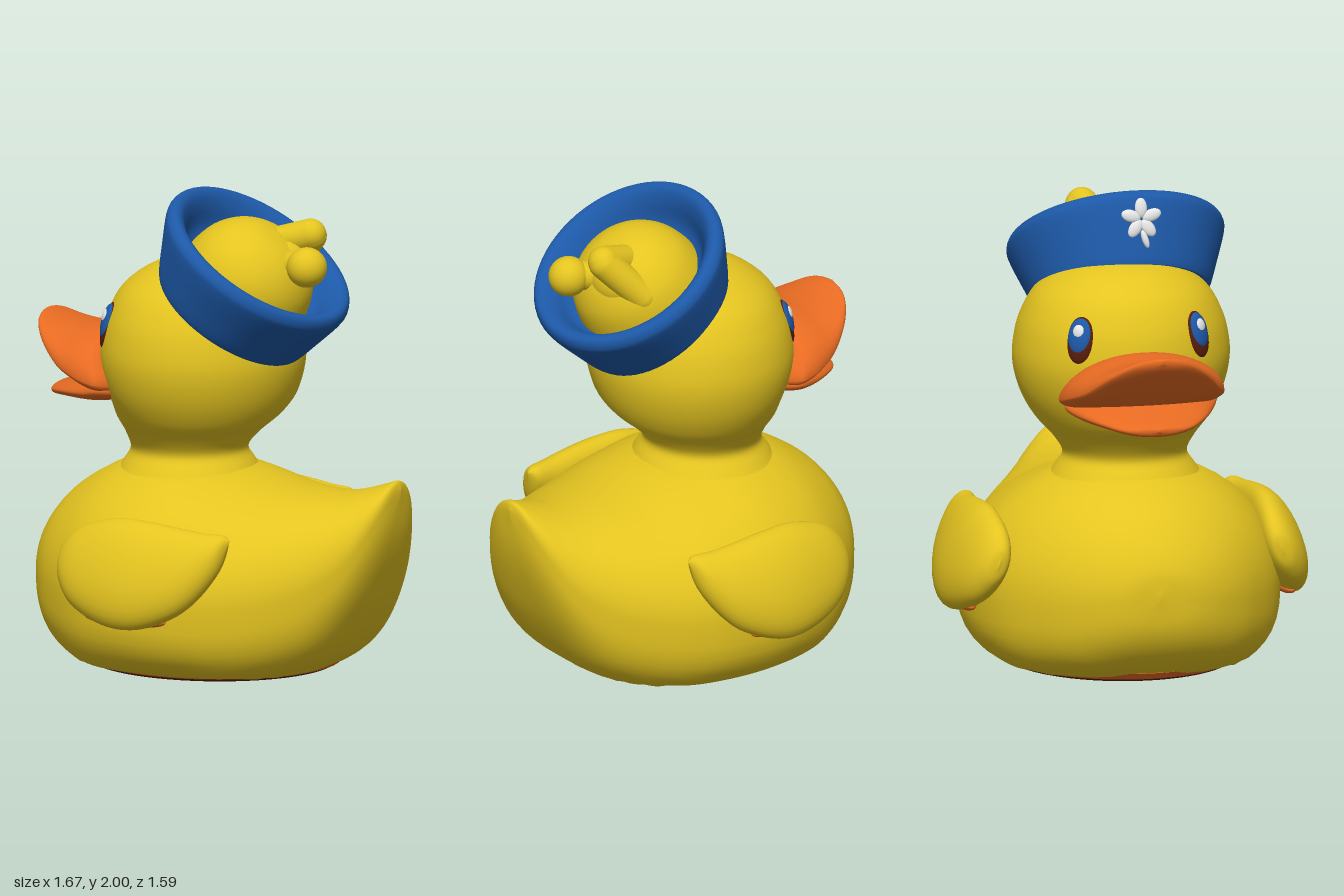
import * as THREE from 'three';

const mat = (name, color) => Object.assign(new THREE.MeshStandardMaterial({ color }), { name });

// Loft along x. Stations are [x, bottom, top, halfWidth, heightOfWidestPoint].
function loft(stations, { low = 1, high = () => 1, floor = -9, move = null, around = 48, steps = 6 } = {}) {
  const curve = (f) => new THREE.CatmullRomCurve3(stations.map(f), false, 'catmullrom', 0.5);
  const heights = curve((s) => new THREE.Vector3(s[0], s[1], s[2]));
  const widths = curve((s) => new THREE.Vector3(s[0], s[3], s[4]));
  const rows = (stations.length - 1) * steps;
  const positions = [], index = [];
  const power = (v, e) => Math.sign(v) * Math.pow(Math.abs(v), e);
  for (let i = 0; i <= rows; i++) {
    const h = heights.getPoint(i / rows), w = widths.getPoint(i / rows);
    for (let j = 0; j < around; j++) {
      const a = (j / around) * Math.PI * 2, s = Math.sin(a), c = Math.cos(a);
      const e = s > 0 ? high(h.x) : low;
      const reach = s > 0 ? h.z - w.z : w.z - h.y;
      const p = new THREE.Vector3(h.x, Math.max(floor, w.z + reach * power(s, e)), Math.max(0, w.y) * power(c, e));
      if (move) move(p);
      positions.push(p.x, p.y, p.z);
      if (i < rows) {
        const k = i * around + j, n = i * around + (j + 1) % around;
        index.push(k, k + around, n, n, k + around, n + around);
      }
    }
  }
  const g = new THREE.BufferGeometry();
  g.setAttribute('position', new THREE.Float32BufferAttribute(positions, 3));
  g.setIndex(index);
  g.computeVertexNormals();
  return g;
}

// Lathe through a smoothed profile of [radius, height]; shift and squash x by height.
function smoothLathe(points, samples, shiftX, scaleX = 1) {
  const spline = new THREE.SplineCurve(points.map((p) => new THREE.Vector2(...p)));
  const profile = spline.getPoints(samples).map((p) => new THREE.Vector2(Math.max(0, p.x), p.y));
  const g = new THREE.LatheGeometry(profile, 64);
  const pos = g.attributes.position;
  for (let i = 0; i < pos.count; i++) pos.setX(i, pos.getX(i) * scaleX + shiftX(pos.getY(i)));
  return g;
}

export function createModel() {
  const yellow = mat('yellow', 0xe4c420), orange = mat('orange', 0xe86b22), blue = mat('blue', 0x1d59a8);
  const brown = mat('dark brown', 0x571d0b), white = mat('white', 0xe8e8e8);
  const model = new THREE.Group();

  const add = (name, geometry, material, parent = model) => {
    const m = new THREE.Mesh(geometry, material);
    m.name = name;
    parent.add(m);
    return m;
  };
  const ball = (name, material, pos, scale, parent = model) => {
    const m = add(name, new THREE.SphereGeometry(1, 32, 20), material, parent);
    m.position.set(...pos);
    m.scale.set(...scale);
    return m;
  };
  const capsule = (name, material, from, to, r) => {
    const a = new THREE.Vector3(...from), b = new THREE.Vector3(...to), d = b.clone().sub(a);
    const m = add(name, new THREE.CapsuleGeometry(r, d.length(), 10, 24), material);
    m.position.copy(a).add(b).multiplyScalar(0.5);
    m.quaternion.setFromUnitVectors(new THREE.Vector3(0, 1, 0), d.normalize());
  };

  // Body with a raised, softly ridged tail
  add('body', loft([
    [-0.81, 0.39, 0.41, 0, 0.4], [-0.79, 0.24, 0.52, 0.17, 0.38], [-0.72, 0.12, 0.635, 0.32, 0.36],
    [-0.6, 0.02, 0.745, 0.46, 0.34], [-0.4, -0.05, 0.845, 0.6, 0.33], [-0.15, -0.06, 0.88, 0.67, 0.33],
    [0.1, -0.06, 0.835, 0.66, 0.33], [0.3, -0.05, 0.785, 0.6, 0.34], [0.47, 0.005, 0.77, 0.51, 0.37],
    [0.6, 0.1, 0.778, 0.415, 0.42], [0.7, 0.27, 0.803, 0.315, 0.5], [0.77, 0.45, 0.825, 0.22, 0.62],
    [0.815, 0.62, 0.837, 0.115, 0.74], [0.832, 0.78, 0.805, 0, 0.795],
  ], { low: 0.68, floor: 0.02, high: (x) => 1 + 0.1 * THREE.MathUtils.smoothstep(x, 0.4, 0.75) }), yellow);

  // Base plate with its coloured rim
  const rim = add('baseRim', new THREE.CylinderGeometry(0.585, 0.555, 0.03, 64), orange);
  rim.position.set(-0.06, 0.027, 0);
  const base = add('basePlate', new THREE.CylinderGeometry(0.55, 0.53, 0.02, 64), brown);
  base.position.set(-0.06, 0.01, 0);
  rim.scale.z = base.scale.z = 0.92;

  // Head and neck, the neck leaning slightly forward
  add('head', smoothLathe([
    [0.35, 0.76], [0.295, 0.84], [0.262, 0.9], [0.3, 0.97], [0.37, 1.05], [0.425, 1.15], [0.455, 1.26],
    [0.455, 1.36], [0.425, 1.48], [0.35, 1.6], [0.2, 1.69], [0, 1.725],
  ], 60, (y) => -0.1 - 0.065 * (1 - THREE.MathUtils.smoothstep(y, 0.88, 1.15)), 0.925), yellow);

  // Open bill
  add('upperBill', loft([
    [-0.84, 1.41, 1.425, 0, 1.418], [-0.815, 1.37, 1.43, 0.12, 1.395], [-0.75, 1.3, 1.402, 0.215, 1.335],
    [-0.65, 1.21, 1.388, 0.29, 1.26], [-0.55, 1.16, 1.394, 0.335, 1.22], [-0.48, 1.13, 1.38, 0.35, 1.2],
    [-0.425, 1.12, 1.31, 0.345, 1.19], [-0.37, 1.12, 1.25, 0.27, 1.18],
  ]), orange);
  add('lowerBill', loft([
    [-0.777, 1.105, 1.115, 0, 1.11], [-0.75, 1.08, 1.132, 0.13, 1.11], [-0.65, 1.08, 1.165, 0.225, 1.125],
    [-0.52, 1.08, 1.21, 0.295, 1.14], [-0.43, 1.09, 1.22, 0.325, 1.16], [-0.36, 1.1, 1.2, 0.25, 1.15],
  ]), orange);

  for (const side of [1, -1]) {
    const label = side > 0 ? 'near' : 'far';
    // Wings, tops leaning in towards the body
    add(label + 'Wing', loft([
      [-0.46, 0.49, 0.51, 0, 0.5], [-0.44, 0.41, 0.575, 0.05, 0.49], [-0.36, 0.32, 0.645, 0.085, 0.47],
      [-0.2, 0.258, 0.693, 0.105, 0.46], [-0.05, 0.25, 0.692, 0.11, 0.46], [0.1, 0.3, 0.675, 0.1, 0.48],
      [0.2, 0.375, 0.662, 0.085, 0.52], [0.285, 0.5, 0.658, 0.055, 0.59], [0.32, 0.63, 0.64, 0, 0.635],
    ], {
      around: 32,
      move: (p) => { p.z = side * (0.665 + p.z * side + 0.28 * (0.47 - p.y) - 0.3 * (p.x + 0.07) ** 2); },
    }), yellow);
    ball(label + 'WingUnderside', orange, [-0.11, 0.285, side * 0.69], [0.19, 0.032, 0.045]);

    // Eyes
    const eye = new THREE.Group();
    eye.name = label + 'Eye';
    eye.position.set(-0.424, 1.437, side * 0.26);
    eye.lookAt(-0.424 - 0.75, 1.437 + 0.25, side * (0.26 + 0.6));
    ball('eyeRim', brown, [0, 0, -0.01], [0.062, 0.1, 0.024], eye);
    ball('iris', blue, [0, 0.014, -0.005], [0.053, 0.08, 0.027], eye);
    ball('eyeGlint', white, [0, 0.036, 0.013], [0.026, 0.03, 0.013], eye);
    model.add(eye);
  }

  // Tilted cap: flared brim with a thick lip, and soft crown
  const hat = new THREE.Group();
  hat.name = 'cap';
  hat.position.set(0.055, 1.505, 0.045);
  hat.rotation.z = -0.62;
  model.add(hat);
  const brim = add('capBrim', smoothLathe([
    [0.27, 0.02], [0.33, -0.005], [0.352, 0.01], [0.39, 0.11], [0.43, 0.225], [0.434, 0.265], [0.415, 0.292],
    [0.38, 0.288], [0.345, 0.25], [0.305, 0.18], [0.25, 0.14],
  ], 60, (y) => -0.11 * y), blue, hat);
  brim.scale.z = 1.06;
  add('capCrown', smoothLathe([
    [0.29, 0.05], [0.285, 0.15], [0.255, 0.26], [0.19, 0.345], [0.1, 0.395], [0, 0.41],
  ], 40, () => -0.015), yellow, hat);

  // Flower badge on the front of the brim
  const badge = new THREE.Group();
  badge.name = 'flowerBadge';
  badge.position.set(-0.421, 0.15, 0.02);
  badge.rotation.z = 0.43;
  hat.add(badge);
  for (let i = 0; i < 5; i++) {
    const a = (i / 5) * Math.PI * 2;
    const petal = ball('petal', white, [0, 0.02 + 0.047 * Math.cos(a), 0.047 * Math.sin(a)], [0.014, 0.042, 0.026], badge);
    petal.rotation.x = a;
  }
  const stem = ball('flowerStem', white, [0, -0.065, 0.012], [0.014, 0.04, 0.014], badge);
  stem.rotation.x = -0.3;

  // Knotted top of the cap
  capsule('knotLoop', yellow, [0.2, 1.79, -0.01], [0.38, 1.842, -0.05], 0.066);
  capsule('knotFold', yellow, [0.38, 1.835, -0.055], [0.24, 1.68, -0.14], 0.066);
  capsule('knotNeck', yellow, [0.26, 1.72, 0.04], [0.42, 1.735, 0.1], 0.062);
  ball('knotCentre', yellow, [0.29, 1.72, -0.01], [0.1, 0.11, 0.13]);
  ball('knotBall', yellow, [0.445, 1.735, 0.11], [0.085, 0.085, 0.085]);

  return model;
}
